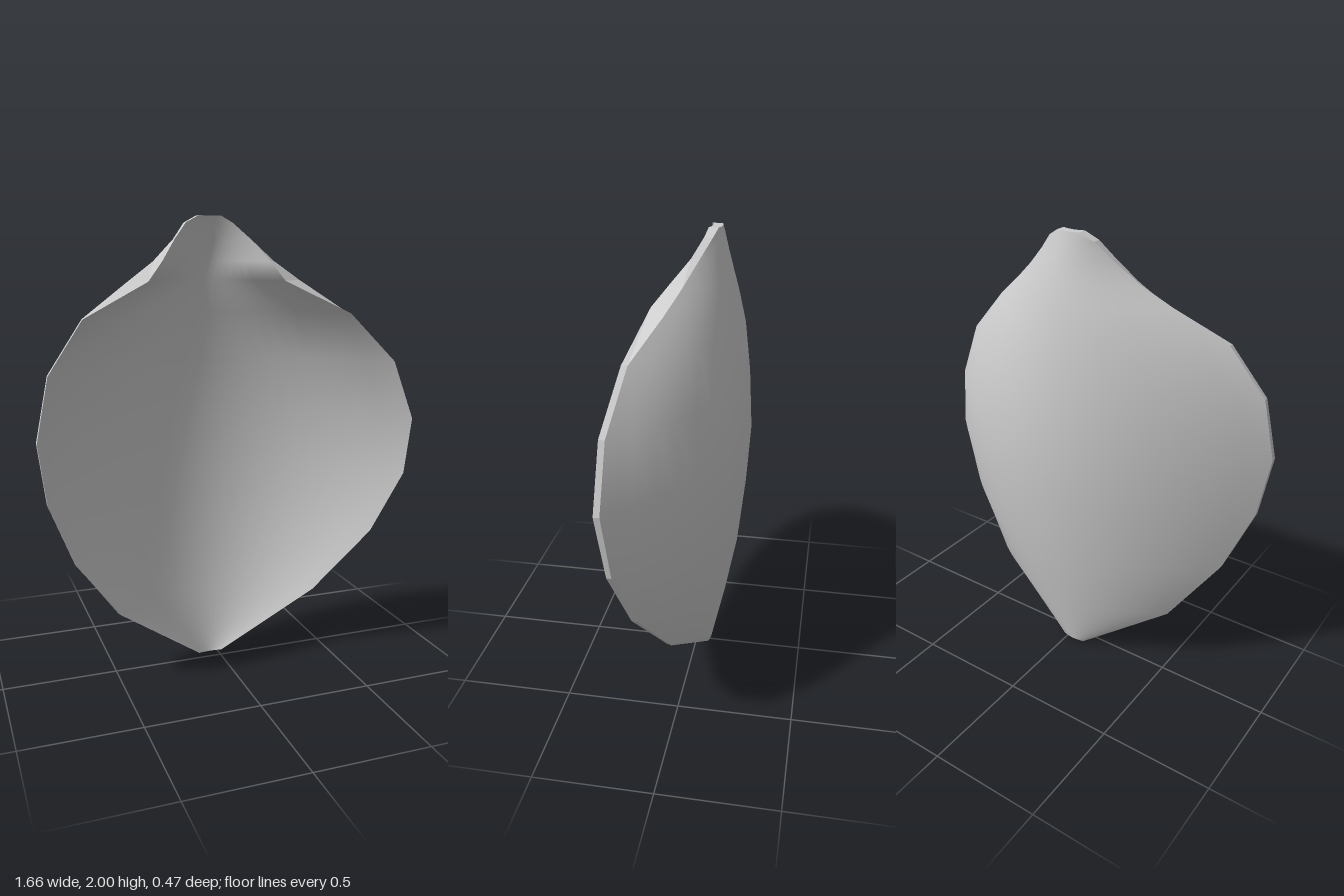
import * as THREE from 'three';

const COLS = 20;

// Each row: height, left and right edge x, z at those edges, z on the midline
const innerRows = [
  [0.00, -0.09, 0.02, -0.045, -0.045, -0.05],
  [0.29, -0.48, 0.44, 0.06, 0.06, -0.115],
  [0.58, -0.69, 0.69, 0.145, 0.145, -0.17],
  [0.86, -0.80, 0.82, 0.20, 0.20, -0.20],
  [1.12, -0.835, 0.83, 0.232, 0.235, -0.217],
  [1.38, -0.78, 0.73, 0.215, 0.23, -0.203],
  [1.59, -0.63, 0.53, 0.17, 0.19, -0.175],
  [1.73, -0.345, 0.24, 0.10, 0.14, -0.145],
  [1.81, -0.27, 0.20, 0.045, 0.075, -0.125],
  [1.90, -0.20, 0.14, -0.01, 0.00, -0.10],
  [1.97, -0.14, 0.07, -0.04, -0.04, -0.075],
  [2.00, -0.08, 0.02, -0.05, -0.05, -0.06],
];
const outerRows = [
  [0.00, -0.09, 0.02, -0.06, -0.06, -0.068],
  [0.29, -0.49, 0.45, 0.035, 0.035, -0.132],
  [0.58, -0.69, 0.69, 0.12, 0.12, -0.187],
  [0.86, -0.80, 0.82, 0.18, 0.18, -0.218],
  [1.12, -0.835, 0.83, 0.208, 0.21, -0.235],
  [1.38, -0.78, 0.73, 0.195, 0.205, -0.22],
  [1.59, -0.63, 0.53, 0.15, 0.165, -0.195],
  [1.73, -0.42, 0.34, 0.055, 0.065, -0.167],
  [1.81, -0.30, 0.24, 0.01, 0.015, -0.148],
  [1.90, -0.20, 0.14, -0.035, -0.035, -0.125],
  [1.97, -0.14, 0.07, -0.075, -0.075, -0.107],
  [2.00, -0.08, 0.02, -0.09, -0.09, -0.10],
];

// Point on a row, u from -1 (left edge) to 1 (right edge), bowed like a parabola
function rowPoint([y, xl, xr, zl, zr, zm], u) {
  const t = (u + 1) / 2;
  const edge = u < 0 ? zl : zr;
  return [xl + (xr - xl) * t, y, zm + (edge - zm) * u * u];
}

// Joins equally long rows of points into a smooth sheet
function sheet(rows, flip) {
  const n = rows[0].length;
  const index = [];
  for (let j = 0; j < rows.length - 1; j++) {
    for (let i = 0; i < n - 1; i++) {
      const a = j * n + i, b = a + 1, c = a + n, d = c + 1;
      if (flip) index.push(a, d, b, a, c, d);
      else index.push(a, b, d, a, d, c);
    }
  }
  const geo = new THREE.BufferGeometry();
  geo.setAttribute('position', new THREE.Float32BufferAttribute(rows.flat(2), 3));
  geo.setIndex(index);
  geo.computeVertexNormals();
  return geo;
}

const grid = (rows) => rows.map((r) =>
  Array.from({ length: COLS + 1 }, (_, i) => rowPoint(r, (i / COLS) * 2 - 1)));

// Edge points of a grid, anticlockwise seen from the front
function outline(g) {
  const right = g.map((r) => r[COLS]);
  const left = g.map((r) => r[0]).reverse();
  const top = g[g.length - 1].slice(1, -1).reverse();
  return [...g[0].slice(0, -1), ...right, ...top, ...left];
}

export function createModel() {
  const group = new THREE.Group();
  group.name = 'curvedShell';
  const grey = new THREE.MeshStandardMaterial({ color: 0xcccccc, side: THREE.DoubleSide });
  grey.name = 'light grey';

  const inner = grid(innerRows);
  const outer = grid(outerRows);
  const add = (name, geo) => {
    const mesh = new THREE.Mesh(geo, grey);
    mesh.name = name;
    group.add(mesh);
  };

  add('hollowFront', sheet(inner, false));
  add('roundedBack', sheet(outer, true));
  // Thin wall closing the gap between the two faces
  add('rim', sheet([outline(outer), outline(inner)], false).toNonIndexed());
  group.getObjectByName('rim').geometry.computeVertexNormals();
  return group;
}
